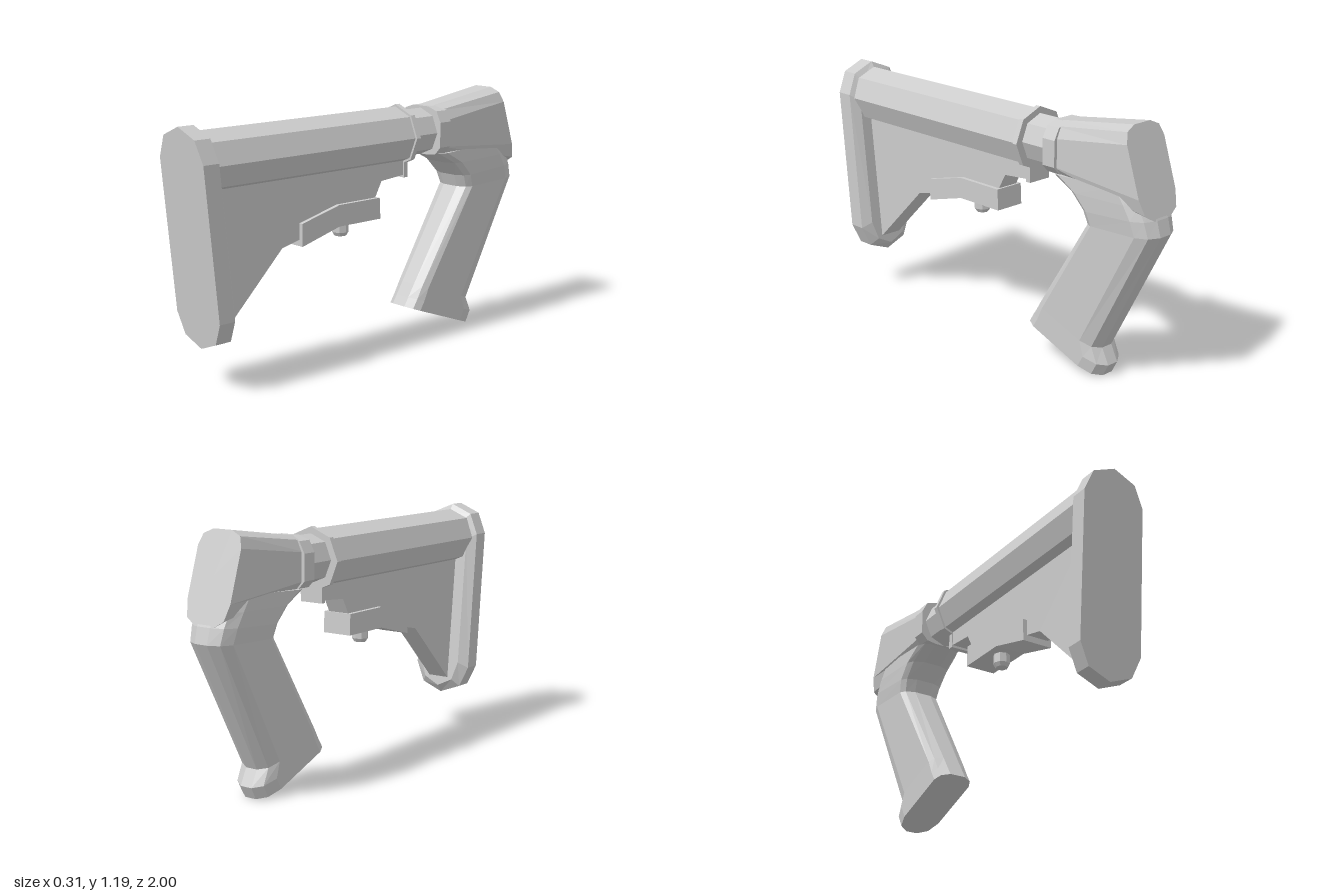
import * as THREE from 'three';

const material = new THREE.MeshStandardMaterial({ color: 0xcccccc, flatShading: true });

function part(group, name, geometry) {
  const mesh = new THREE.Mesh(geometry, material);
  mesh.name = name;
  group.add(mesh);
  return mesh;
}

// Closed loop from its +x half; points on the centre line are not doubled.
function mirrorLoop(half) {
  const other = half.filter(p => p[0] > 0).map(([x, y, z]) => [-x, y, z]).reverse();
  return [...half, ...other];
}

// Skin over equal-sized loops with fan caps; winding is fixed by signed volume.
function loft(loops) {
  const tris = [];
  const n = loops[0].length;
  const centre = l => [0, 1, 2].map(k => l.reduce((s, p) => s + p[k], 0) / n);
  const first = loops[0], last = loops[loops.length - 1];
  const c0 = centre(first), c1 = centre(last);
  for (let i = 0; i < n; i++) {
    const j = (i + 1) % n;
    for (let r = 0; r < loops.length - 1; r++) {
      const a = loops[r], b = loops[r + 1];
      tris.push([a[i], a[j], b[j]], [a[i], b[j], b[i]]);
    }
    tris.push([c0, first[j], first[i]], [c1, last[i], last[j]]);
  }
  const v = tris.map(t => t.map(p => new THREE.Vector3(...p)));
  const volume = v.reduce((s, [a, b, c]) => s + a.dot(b.clone().cross(c)), 0);
  const pts = v.flatMap(t => (volume < 0 ? t.reverse() : t));
  const geometry = new THREE.BufferGeometry().setFromPoints(pts);
  geometry.computeVertexNormals();
  return geometry;
}

// Octagonal bar along z with a corner at the top.
function octagonBar(radius, zFront, zBack, y) {
  return new THREE.CylinderGeometry(radius, radius, zFront - zBack, 8)
    .rotateX(Math.PI / 2).translate(0, y, (zFront + zBack) / 2);
}

// Side profile of [z, y] points, extruded evenly about x = 0.
function sidePlate(points, halfWidth) {
  const shape = new THREE.Shape(points.map(p => new THREE.Vector2(...p)));
  return new THREE.ExtrudeGeometry(shape, { depth: halfWidth * 2, bevelEnabled: false })
    .translate(0, 0, -halfWidth).rotateY(-Math.PI / 2);
}

export function createModel() {
  const group = new THREE.Group();
  group.name = 'shoulderStock';

  // Butt pad: leaning outline with a bevelled inner side
  const padHalf = [[0, 1.165], [0.11, 1.12], [0.155, 1.02], [0.155, 0.335], [0.11, 0.235], [0, 0.193]];
  const padLoop = (offset, sx, sy) => mirrorLoop(padHalf.map(([x, y]) =>
    [x * sx, 0.68 + (y - 0.68) * sy, 1 - (1.165 - y) * 0.093 - offset]));
  part(group, 'buttPad', loft([padLoop(0, 1, 1), padLoop(0.08, 1, 1), padLoop(0.11, 0.72, 0.92)]));

  // Tubes and end ring
  part(group, 'stockTube', octagonBar(0.137, 0.92, -0.245, 1.003));
  part(group, 'endRing', octagonBar(0.148, -0.24, -0.265, 1.003));
  part(group, 'bufferTube', octagonBar(0.112, -0.24, -0.45, 1.008));
  part(group, 'ringLug', new THREE.BoxGeometry(0.12, 0.12, 0.025).translate(0, 0.868, -0.2525));

  // Web under the tube
  part(group, 'stockWeb', sidePlate([
    [0.9, 0.95], [-0.242, 0.95], [-0.242, 0.82], [-0.1, 0.808], [-0.06, 0.735],
    [-0.06, 0.66], [0.2, 0.66], [0.4, 0.605], [0.5, 0.582], [0.81, 0.275], [0.85, 0.275],
  ], 0.055));

  // Adjustment lever and its pin
  part(group, 'adjustmentLever', sidePlate([
    [0.4, 0.68], [0.18, 0.735], [-0.07, 0.735], [-0.075, 0.635], [0.18, 0.635], [0.4, 0.575],
  ], 0.075));
  part(group, 'leverPin', new THREE.LatheGeometry([
    [0, 0.572], [0.028, 0.572], [0.039, 0.59], [0.039, 0.65], [0, 0.65],
  ].map(p => new THREE.Vector2(...p)), 8).translate(0, 0, 0.11));

  // Collar where the tube enters the head
  const collarHalf = [[0.05, 1.13], [0.105, 1.112], [0.132, 1.06], [0.132, 0.94], [0.1, 0.905], [0.05, 0.897]];
  part(group, 'collar', loft([-0.41, -0.48].map(z => mirrorLoop(collarHalf.map(([x, y]) => [x, y, z])))));

  // Head: from the collar to the slanted rear face
  const rearHalf = [[0.05, 1.19], [0.1, 1.168], [0.118, 1.12], [0.118, 0.9], [0.1, 0.83], [0.05, 0.8]];
  const headFront = mirrorLoop(collarHalf.map(([x, y]) => [x * 0.88, y, -0.44]));
  const headRear = mirrorLoop(rearHalf.map(([x, y]) => [x, y, -0.85 - (1.19 - y) * 0.325]));
  part(group, 'head', loft([headFront, headRear]));

  // Grip: sections run from a front [z, y] to a back [z, y], scaled in width
  const gripHalf = [[0.04, 0], [0.08, 0.05], [0.095, 0.13], [0.095, 0.78], [0.075, 0.93], [0.03, 1]];
  const sections = [
    [-0.27, 0.163, -0.70, 0.003, 1],
    [-0.297, 0.205, -0.73, 0.06, 1],
    [-0.335, 0.265, -0.692, 0.135, 1],
    [-0.622, 0.715, -0.997, 0.73, 1.1],
    [-0.60, 0.775, -0.978, 0.80, 1.18],
    [-0.53, 0.845, -0.95, 0.86, 1.2],
    [-0.42, 0.90, -0.92, 0.93, 1.18],
  ];
  part(group, 'grip', loft(sections.map(([fz, fy, bz, by, w]) =>
    mirrorLoop(gripHalf.map(([x, t]) => [x * w, fy + (by - fy) * t, fz + (bz - fz) * t])))));

  return group;
}
